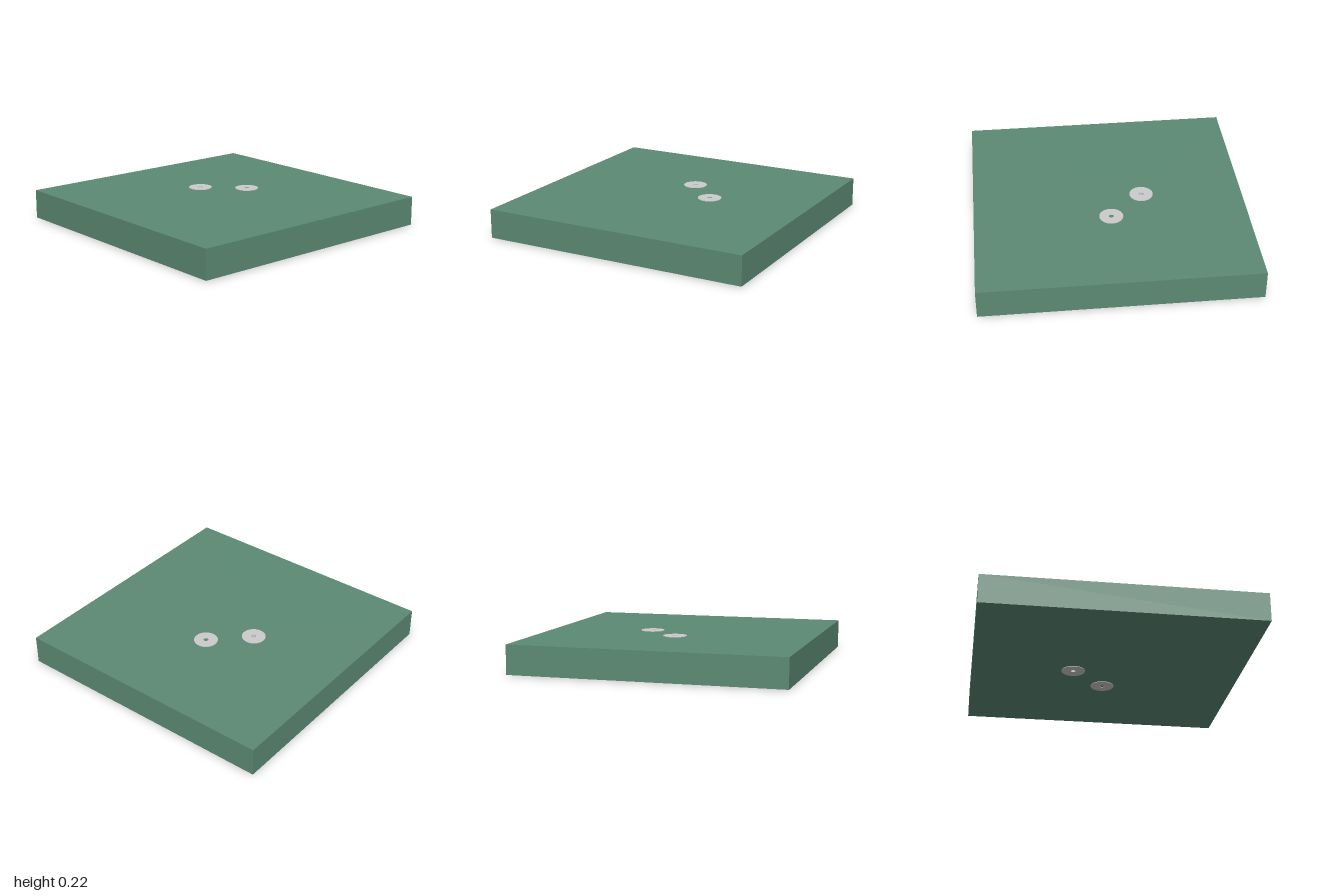
import * as THREE from 'three';

const HEIGHT = 0.222, PAD = 0.004;
const PAD_RADIUS = 0.0875, HOLE_RADIUS = 0.018, BARREL_RADIUS = 0.021;

const boardMaterial = new THREE.MeshStandardMaterial({ color: 0x5c8a74 });
const metalMaterial = new THREE.MeshStandardMaterial({ color: 0xcccccc });

// Extrude a plan shape upward from height y
function slab(name, shape, y, height, material) {
  const geometry = new THREE.ExtrudeGeometry(shape, { depth: height, bevelEnabled: false, curveSegments: 24 });
  geometry.rotateX(-Math.PI / 2);
  const mesh = new THREE.Mesh(geometry, material);
  mesh.name = name;
  mesh.position.y = y;
  return mesh;
}

function circle(x, y, radius) {
  return new THREE.Path().absarc(x, y, radius, 0, Math.PI * 2, true);
}

function ring(outer, inner) {
  const shape = new THREE.Shape().absarc(0, 0, outer, 0, Math.PI * 2, false);
  shape.holes.push(circle(0, 0, inner));
  return shape;
}

// A matching pair of thin ring pads, above and below the board
function padPair(name, x, z) {
  const group = new THREE.Group();
  group.name = name;
  group.position.set(x, 0, z);
  const shape = ring(PAD_RADIUS, HOLE_RADIUS);
  group.add(slab('topPad', shape, HEIGHT - PAD, PAD, metalMaterial));
  group.add(slab('bottomPad', shape, 0, PAD, metalMaterial));
  return group;
}

export function createModel() {
  const model = new THREE.Group();
  model.name = 'circuitBoard';

  // Square board, drilled through at the rear pads only
  const outline = new THREE.Shape([
    new THREE.Vector2(-1, -1), new THREE.Vector2(1, -1),
    new THREE.Vector2(1, 1), new THREE.Vector2(-1, 1),
  ]);
  outline.holes.push(circle(0, 0.25, BARREL_RADIUS));
  model.add(slab('board', outline, PAD, HEIGHT - 2 * PAD, boardMaterial));

  // Rear pads joined by a plated barrel
  const drilledPads = padPair('drilledPads', 0, -0.25);
  drilledPads.add(slab('barrel', ring(BARREL_RADIUS, HOLE_RADIUS), PAD, HEIGHT - 2 * PAD, metalMaterial));
  model.add(drilledPads);

  // Side pads on the undrilled board
  model.add(padPair('surfacePads', 0.25, 0));

  return model;
}
